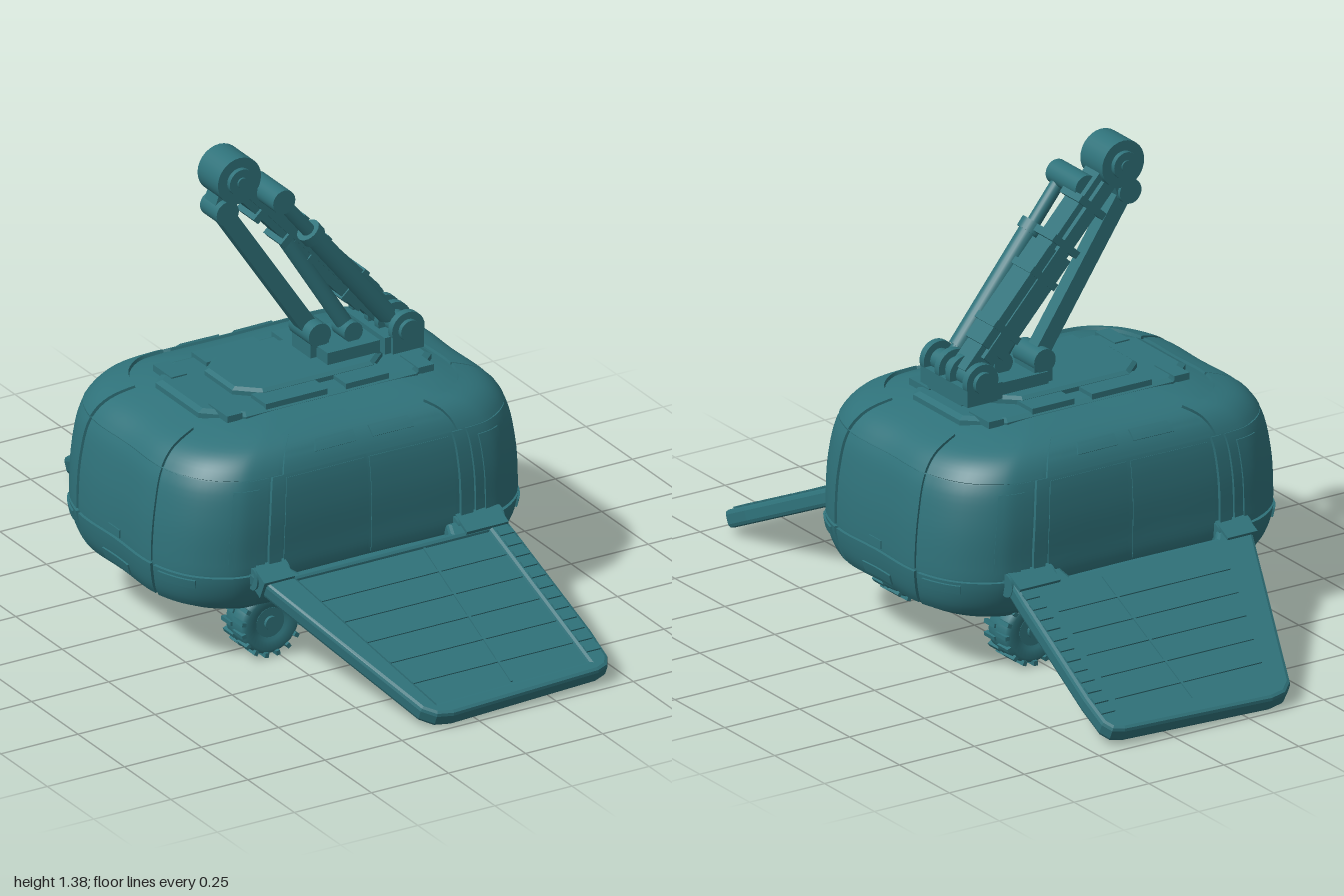
import * as THREE from 'three';
import { toCreasedNormals } from 'three/addons/utils/BufferGeometryUtils.js';

const V = (x, y, z) => new THREE.Vector3(x, y, z);

export function createModel() {
  const root = new THREE.Group();
  root.name = 'rampVehicle';
  const teal = new THREE.MeshStandardMaterial({ color: 0x2f727a });
  teal.name = 'teal';

  const add = (name, geo, parent = root, pos = [0, 0, 0]) => {
    const m = new THREE.Mesh(geo, teal);
    m.name = name;
    m.position.set(...pos);
    parent.add(m);
    return m;
  };
  const box = (name, size, pos, parent) => add(name, new THREE.BoxGeometry(...size), parent, pos);
  // round bar between two points
  const rod = (name, a, b, r, parent, sides = 20) => {
    const m = add(name, new THREE.CylinderGeometry(r, r, a.distanceTo(b), sides), parent);
    m.position.copy(a).add(b).multiplyScalar(0.5);
    m.quaternion.setFromUnitVectors(V(0, 1, 0), b.clone().sub(a).normalize());
    return m;
  };
  // square beam between two points that share one z
  const beam = (name, a, b, w, d, parent) => {
    const m = add(name, new THREE.BoxGeometry(w, a.distanceTo(b), d), parent);
    m.position.copy(a).add(b).multiplyScalar(0.5);
    m.rotation.z = Math.atan2(a.x - b.x, b.y - a.y);
    return m;
  };
  const pin = (name, x, y, z0, z1, r, parent) => rod(name, V(x, y, z0), V(x, y, z1), r, parent, 28);

  // Body surface: plan outline (quarter, mirrored) swept through stacked levels
  const outline = new THREE.CatmullRomCurve3([[0, 1], [0.64, 1], [0.76, 0.965], [0.91, 0.8], [1, 0.49], [1, 0]]
    .map(([x, z]) => V(x, 0, z)));
  const levels = new THREE.CatmullRomCurve3([
    [0, 0.138, 0], [0.4, 0.14, 0.25], [0.47, 0.15, 0.31], [0.545, 0.2, 0.37], [0.57, 0.28, 0.402],
    [0.572, 0.36, 0.406], [0.562, 0.47, 0.406], [0.538, 0.57, 0.392], [0.495, 0.622, 0.365],
    [0.405, 0.655, 0.315], [0.28, 0.678, 0.22], [0, 0.685, 0]].map((p) => V(...p)));
  const point = (u, v) => {
    u = ((u % 20) + 20) % 20;
    const q = Math.floor(u / 5);
    const t = q % 2 ? 5 - (u - 5 * q) : u - 5 * q;
    const o = outline.getPoint(t / 5);
    const l = levels.getPoint(v / 11);
    return V((q < 2 ? 1 : -1) * o.x * l.x, l.y, (q === 0 || q === 3 ? 1 : -1) * o.z * l.z);
  };
  const grid = (cols, rows, fn) => {
    const pos = [], idx = [];
    for (let j = 0; j <= rows; j++) for (let i = 0; i <= cols; i++) pos.push(...fn(i, j).toArray());
    for (let j = 0; j < rows; j++) for (let i = 0; i < cols; i++) {
      const a = j * (cols + 1) + i, b = a + 1, c = a + cols + 1;
      idx.push(a, b, c + 1, a, c + 1, c);
    }
    const g = new THREE.BufferGeometry();
    g.setAttribute('position', new THREE.Float32BufferAttribute(pos, 3));
    g.setIndex(idx);
    g.computeVertexNormals();
    return g;
  };
  add('bodyShell', grid(120, 66, (i, j) => point(i / 6, j / 6)));

  // Raised panel that follows the body surface
  const panel = (name, u0, u1, v0, v1, off) => {
    const n = Math.ceil((u1 - u0) * 5) + 2, m = Math.ceil((v1 - v0) * 5) + 2, e = 0.02;
    const g = grid(n, m, (i, j) => {
      const rim = i === 0 || j === 0 || i === n || j === m;
      const u = u0 + (u1 - u0) * THREE.MathUtils.clamp((i - 1) / (n - 2), 0, 1);
      const v = v0 + (v1 - v0) * THREE.MathUtils.clamp((j - 1) / (m - 2), 0, 1);
      const nor = point(u + e, v).sub(point(u - e, v)).cross(point(u, v + e).sub(point(u, v - e))).normalize();
      return point(u, v).addScaledVector(nor, rim ? -0.003 : off);
    });
    add(name, toCreasedNormals(g, 0.6));
  };
  // the same panel at all four quarters
  const quad = (name, a, b, v0, v1, off) =>
    [[a, b], [10 - b, 10 - a], [10 + a, 10 + b], [20 - b, 20 - a]].forEach(([p, q]) => panel(name, p, q, v0, v1, off));

  quad('slidingDoor', 0.02, 0.7, 4, 6.95, 0.003);
  quad('doorPost', 0.74, 0.86, 3.5, 7.1, 0.011);
  quad('cornerPanel', 0.9, 3.95, 4.35, 7.1, 0.008);
  quad('cornerWindow', 1.05, 2.1, 4.6, 6.8, 0.013);
  quad('cornerBumper', 1, 3.95, 3, 4.25, 0.01);
  quad('cornerLamp', 2.9, 3.8, 3.85, 4.15, 0.016);
  quad('cornerRoof', 0.8, 3.95, 7.15, 8.9, 0.01);
  quad('roofSlot', 0.08, 0.45, 7.75, 8.3, 0.014);
  for (const s of [0, 10]) {
    panel('roofRail', s - 0.74, s + 0.74, 7.1, 9, 0.008);
    panel('doorSill', s - 0.74, s + 0.74, 3.2, 3.9, 0.008);
    panel('endWindow', s + 4.03, s + 5.97, 4.35, 7.1, 0.006);
    panel('endBumper', s + 4.03, s + 5.97, 3, 4.25, 0.009);
    panel('endPlate', s + 4.65, s + 5.35, 3.25, 3.6, 0.014);
    panel('endRoof', s + 4.03, s + 5.97, 7.15, 8.9, 0.008);
    panel('endBadgePlate', s + 4.85, s + 5.15, 4.4, 4.7, 0.01);
  }

  // Roof deck plates
  const deckShape = new THREE.Shape([[-0.4, -0.12], [-0.3, -0.21], [0.3, -0.21], [0.4, -0.12], [0.4, 0.12],
    [0.3, 0.21], [-0.3, 0.21], [-0.4, 0.12]].map((p) => new THREE.Vector2(...p)));
  const plate = (name, s, y, h) => {
    const g = new THREE.ExtrudeGeometry(deckShape, { depth: h, bevelThickness: 0.008, bevelSize: 0.02, bevelSegments: 1 });
    g.scale(s, s, 1).rotateX(-Math.PI / 2);
    add(name, g, root, [0, y, 0]);
  };
  plate('roofDeck', 0.9, 0.665, 0.015);
  plate('roofUpperDeck', 0.58, 0.685, 0.016);
  for (const s of [-1, 1]) {
    box('roofHatch', [0.2, 0.02, 0.08], [-0.11, 0.69, 0.16 * s]);
    box('roofHatch', [0.14, 0.02, 0.08], [0.12, 0.69, 0.16 * s]);
    for (const x of [-0.31, 0.31]) box('roofLatch', [0.05, 0.02, 0.1], [x, 0.682, 0.15 * s]);
  }

  // Folding boom
  const crane = new THREE.Group();
  crane.name = 'crane';
  root.add(crane);
  box('craneBase', [0.29, 0.04, 0.17], [0.205, 0.725, 0], crane);
  box('craneBaseFoot', [0.12, 0.05, 0.22], [0.29, 0.735, 0], crane);
  for (const z of [-0.105, -0.02, 0.035, 0.11]) {
    box('pivotBracket', [0.1, 0.07, 0.022], [0.3, 0.745, z], crane);
    pin('pivotCheek', 0.3, 0.775, z - 0.011, z + 0.011, 0.053, crane);
  }
  pin('pivotPin', 0.3, 0.775, -0.13, 0.135, 0.032, crane);
  const foot = V(0.3, 0.775, -0.035), head = V(-0.19, 1.31, -0.03);
  const along = (t, z) => foot.clone().lerp(head, t).setZ(z);
  beam('boom', foot, head, 0.075, 0.07, crane);
  beam('boomSleeve', along(0.12, -0.035), along(0.58, -0.035), 0.095, 0.085, crane);
  beam('boomRib', along(0.08, -0.035), along(0.9, -0.035), 0.035, 0.095, crane);
  for (const t of [0.2, 0.45, 0.6, 0.78]) beam('boomCollar', along(t, -0.035), along(t + 0.03, -0.035), 0.108, 0.095, crane);
  pin('headDrum', -0.19, 1.31, -0.085, 0.025, 0.07, crane);
  pin('headCap', -0.19, 1.31, -0.1, 0.04, 0.04, crane);
  pin('headBolt', -0.19, 1.31, -0.105, 0.046, 0.016, crane);
  beam('headArm', V(-0.19, 1.31, -0.03), V(-0.225, 1.21, -0.03), 0.07, 0.06, crane);

  // Lower link
  pin('linkTop', -0.225, 1.215, -0.07, 0.02, 0.036, crane);
  pin('linkFoot', 0.068, 0.775, -0.08, 0.03, 0.036, crane);
  beam('linkArm', V(0.068, 0.775, -0.03), V(-0.225, 1.215, -0.03), 0.05, 0.045, crane);
  box('linkBracket', [0.06, 0.06, 0.1], [0.07, 0.74, -0.025], crane);

  // Hydraulic rams
  pin('ramTopPin', -0.09, 1.25, -0.05, 0.1, 0.036, crane);
  rod('ramRod', V(-0.09, 1.25, 0.068), V(0.27, 0.8, 0.068), 0.02, crane);
  rod('ramBarrel', V(0.02, 1.112, 0.068), V(0.26, 0.812, 0.068), 0.029, crane);
  rod('ramCollar', V(0.006, 1.13, 0.068), V(0.026, 1.105, 0.068), 0.036, crane);
  rod('innerRam', V(0.165, 0.775, 0.01), V(-0.02, 1.08, -0.015), 0.024, crane);
  pin('innerRamFoot', 0.165, 0.77, -0.02, 0.05, 0.03, crane);

  // Wheels
  const tyre = new THREE.LatheGeometry([[0.03, -0.035], [0.055, -0.045], [0.08, -0.052], [0.093, -0.042], [0.096, 0],
    [0.093, 0.042], [0.08, 0.052], [0.055, 0.045], [0.03, 0.035]].map((p) => new THREE.Vector2(...p)), 32).rotateX(Math.PI / 2);
  for (const x of [-0.275, 0.275]) {
    rod('axle', V(x, 0.1, -0.29), V(x, 0.1, 0.29), 0.025);
    for (const s of [-1, 1]) {
      const wheel = new THREE.Group();
      wheel.name = 'wheel';
      wheel.position.set(x, 0.1, 0.29 * s);
      root.add(wheel);
      add('tyre', tyre, wheel);
      pin('hub', 0, 0, -0.042, 0.042, 0.045, wheel);
      pin('hubCap', 0, 0, -0.052, 0.052, 0.02, wheel);
      for (let i = 0; i < 32; i++) {
        const a = (i / 32) * Math.PI * 2, side = i % 2 ? 1 : -1;
        const lug = box('treadLug', [0.014, 0.012, 0.052], [0.094 * Math.cos(a), 0.094 * Math.sin(a), 0.03 * side], wheel);
        lug.rotation.z = a;
      }
      box('wheelMount', [0.08, 0.1, 0.06], [x, 0.14, 0.22 * s]);
    }
  }
  // Small centre guide wheels
  for (const z of [-0.024, 0.024]) pin('guideWheel', 0, 0.085, z - 0.018, z + 0.018, 0.06);
  pin('guideAxle', 0, 0.085, -0.05, 0.05, 0.025);
  box('guideMount', [0.16, 0.04, 0.1], [0, 0.135, 0]);

  // Ramps: m = 1 front, m = -1 back (turned round, with x flipped back)
  const ramp = (m) => {
    const turn = new THREE.Group(), g = new THREE.Group();
    turn.name = m > 0 ? 'frontRamp' : 'backRamp';
    turn.rotation.y = m > 0 ? 0 : Math.PI;
    g.name = 'rampSlope';
    g.position.set(0, 0.292, 0.41);
    g.rotation.x = 0.437;
    root.add(turn);
    turn.add(g);
    const pts = (list) => list.map(([x, s]) => new THREE.Vector2(x * m, s));
    const slab = (name, outer, hole, depth, y, bevel) => {
      const shape = new THREE.Shape(pts(outer));
      if (hole) shape.holes.push(new THREE.Path(pts(hole)));
      const geo = new THREE.ExtrudeGeometry(shape, { depth: depth - 2 * bevel, bevelEnabled: bevel > 0,
        bevelThickness: bevel, bevelSize: bevel, bevelOffset: -bevel, bevelSegments: 2 });
      geo.rotateX(Math.PI / 2).translate(0, y + depth / 2 - bevel, 0);
      add(name, geo, g);
    };
    const inner = [[-0.27, 0.06], [0.35, 0.06], [0.385, 0.58], [-0.11, 0.59]];
    slab('rampFrame', [[-0.39, 0], [-0.28, 0], [-0.255, 0.035], [0.235, 0.035], [0.245, 0], [0.415, 0], [0.425, 0.1],
      [0.452, 0.48], [0.452, 0.58], [0.435, 0.61], [0.4, 0.622], [-0.08, 0.642], [-0.13, 0.632], [-0.165, 0.6], [-0.18, 0.56]],
    inner, 0.052, 0, 0.012);
    slab('rampDeck', inner, null, 0.026, 0.004, 0);
    // plank joints on both faces
    for (let i = 1; i < 6; i++) {
      const s = 0.06 + i * 0.088, left = -0.27 + 0.3 * (s - 0.06), right = 0.35 + 0.067 * (s - 0.06);
      box('plankRib', [right - left, 0.034, 0.008], [m * (left + right) / 2, 0.004, s], g);
    }
    box('deckSeam', [0.007, 0.034, 0.52], [0.14 * m, 0.004, 0.32], g);
    // grip blocks on the straight rail
    for (let i = 0; i < 12; i++) box('railGrip', [0.045, 0.01, 0.022], [m * (0.39 + i * 0.0025), 0.026, 0.08 + i * 0.042], g);
    // hinges
    for (const [x, w] of [[-0.33, 0.11], [0.345, 0.15]]) {
      rod('rampHinge', V(m * (x - w / 2), 0, 0), V(m * (x + w / 2), 0, 0), 0.034, g);
      box('hingePlate', [w * 0.9, 0.06, 0.07], [x * m, 0.005, 0.02], g);
    }
  };
  ramp(1);
  ramp(-1);
  return root;
}
